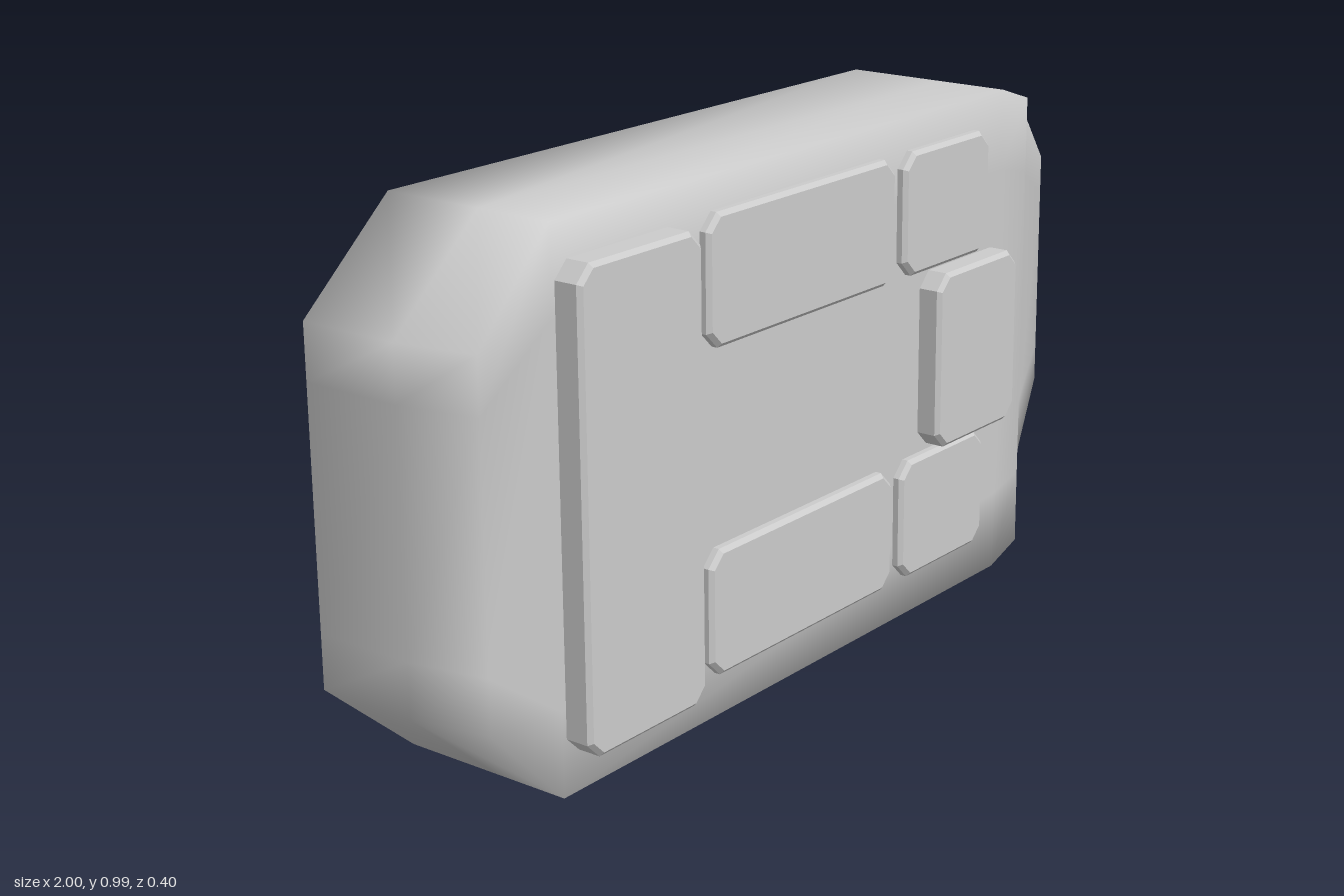
import * as THREE from 'three';

const material = new THREE.MeshStandardMaterial({ color: 0xcccccc });
const MID = 0.495, BACK = -0.2;

// Hull: stations along x, each a 3 x 4 grid (front, middle, back rows; bottom to top)
function hullGeometry() {
  // x, half height, front z
  const stations = [
    [-1, 0.32, 0.15], [-0.8, 0.495, 0.15], [0.52, 0.495, 0.15], [0.61, 0.465, 0.15],
    [0.71, 0.425, 0.07], [0.86, 0.355, 0], [1, 0.25, -0.05],
  ];
  const pos = [], idx = [];
  stations.forEach(([x, h, zf], s) => {
    const zm = Math.min(0, (zf + BACK) / 2 + 0.025);
    [zf, zm, BACK].forEach((z, r) => {
      // the stern leans in slightly towards the front
      const px = s === 0 && r === 0 ? x + 0.03 : x;
      for (const f of [-1, -0.68, 0.68, 1]) pos.push(px, MID + f * h, z);
    });
  });
  const id = (s, r, c) => s * 12 + r * 4 + c;
  const quad = (a, b, c, d) => idx.push(a, b, c, a, c, d);
  const last = stations.length - 1;
  for (let s = 0; s < last; s++) {
    const t = s + 1;
    for (let c = 0; c < 3; c++) {
      quad(id(s, 0, c), id(t, 0, c), id(t, 0, c + 1), id(s, 0, c + 1)); // front
      quad(id(t, 2, c), id(s, 2, c), id(s, 2, c + 1), id(t, 2, c + 1)); // back
    }
    for (let r = 0; r < 2; r++) {
      quad(id(s, r, 3), id(t, r, 3), id(t, r + 1, 3), id(s, r + 1, 3)); // top side
      quad(id(s, r + 1, 0), id(t, r + 1, 0), id(t, r, 0), id(s, r, 0)); // bottom side
    }
  }
  // end caps
  for (let r = 0; r < 2; r++) for (let c = 0; c < 3; c++) {
    quad(id(0, r + 1, c), id(0, r, c), id(0, r, c + 1), id(0, r + 1, c + 1));
    quad(id(last, r, c), id(last, r + 1, c), id(last, r + 1, c + 1), id(last, r, c + 1));
  }
  const g = new THREE.BufferGeometry();
  g.setAttribute('position', new THREE.Float32BufferAttribute(pos, 3));
  g.setIndex(idx);
  g.computeVertexNormals();
  return g;
}

// Raised pad with cut corners and a fine bevel
function pad(name, x0, x1, y0, y1, top) {
  const b = 0.008, k = 0.025, z0 = 0.13;
  x0 += b; x1 -= b; y0 += b; y1 -= b;
  const shape = new THREE.Shape([
    [x0 + k, y0], [x1 - k, y0], [x1, y0 + k], [x1, y1 - k],
    [x1 - k, y1], [x0 + k, y1], [x0, y1 - k], [x0, y0 + k],
  ].map(([x, y]) => new THREE.Vector2(x, y)));
  const g = new THREE.ExtrudeGeometry(shape, {
    depth: top - z0 - b, bevelEnabled: true, bevelSize: b, bevelThickness: b, bevelSegments: 1,
  });
  g.translate(0, 0, z0);
  const mesh = new THREE.Mesh(g, material);
  mesh.name = name;
  return mesh;
}

export function createModel() {
  const group = new THREE.Group();
  group.name = 'paddedHull';
  const hull = new THREE.Mesh(hullGeometry(), material);
  hull.name = 'hull';
  group.add(hull);

  group.add(pad('sternPad', -0.79, -0.48, 0.075, 0.923, 0.203));
  group.add(pad('centrePad', 0.24, 0.515, 0.335, 0.682, 0.197));
  // long and short pads along both edges
  for (const [side, y0, y1] of [['upper', 0.69, 0.928], ['lower', 0.085, 0.323]]) {
    group.add(pad(side + 'LongPad', -0.425, 0.13, y0, y1, 0.17));
    group.add(pad(side + 'ShortPad', 0.16, 0.447, y0, y1, 0.17));
  }
  return group;
}
